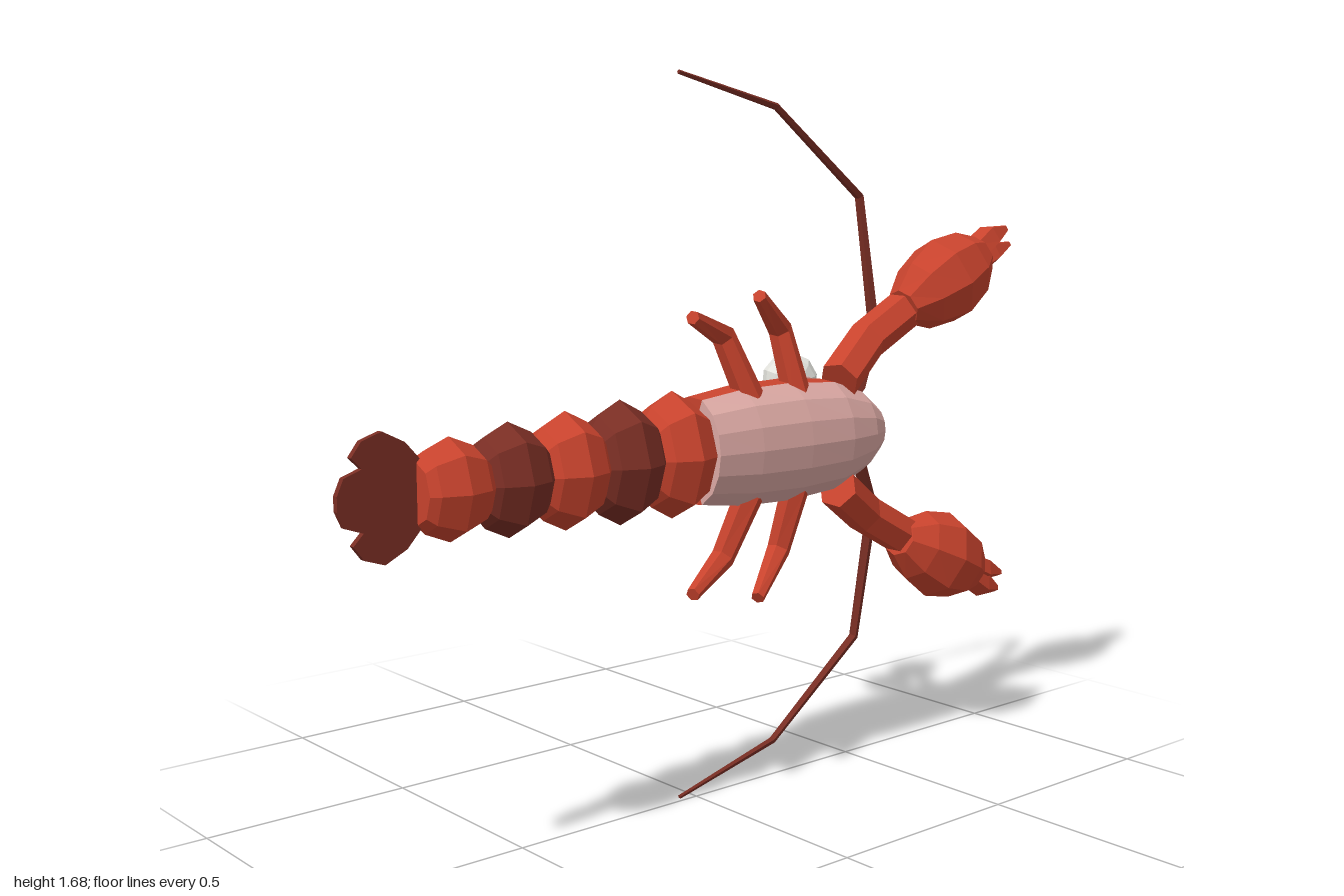
import * as THREE from 'three';

const mat = (name, color, side = THREE.FrontSide) => {
  const m = new THREE.MeshStandardMaterial({ color, flatShading: true, side });
  m.name = name;
  return m;
};

const AXIS_Y = 0.85; // height of the mirror plane

// Regular cross-section with n sides
const polygon = (n, turn = 0) => Array.from({ length: n }, (_, i) => {
  const a = (i + turn) / n * Math.PI * 2;
  return [Math.cos(a), Math.sin(a)];
});

// Closed loft along a path; stations are [x, y, z, radius across, radius in z]
function loft(stations, section, keep = () => true) {
  const pts = stations.map(([x, y, z]) => new THREE.Vector3(x, y, z));
  const last = pts.length - 1;
  const rings = pts.map((p, i) => {
    const t = pts[Math.min(i + 1, last)].clone().sub(pts[Math.max(i - 1, 0)]).normalize();
    const u = new THREE.Vector3(0, 0, 1).cross(t).normalize();
    const v = t.clone().cross(u);
    const [, , , ru, rv = ru] = stations[i];
    return section.map(([a, b]) => p.clone().addScaledVector(u, a * ru).addScaledVector(v, b * rv));
  });
  const out = [];
  const tri = (...vs) => vs.forEach((q) => out.push(q.x, q.y, q.z));
  section.forEach((_, j) => {
    if (!keep(j)) return;
    const k = (j + 1) % section.length;
    for (let i = 0; i < last; i++) {
      const [a, b, c, d] = [rings[i][j], rings[i][k], rings[i + 1][k], rings[i + 1][j]];
      tri(a, b, c);
      tri(a, c, d);
    }
    tri(pts[0], rings[0][k], rings[0][j]);
    tri(pts[last], rings[last][j], rings[last][k]);
  });
  const g = new THREE.BufferGeometry();
  g.setAttribute('position', new THREE.Float32BufferAttribute(out, 3));
  g.computeVertexNormals();
  return g;
}

export function createModel() {
  const red = mat('shell red', 0xc8432d);
  const dark = mat('dark red', 0x7a2e24);
  const pink = mat('belly pink', 0xdca9a4);
  const white = mat('eye white', 0xe6e6e0);
  const black = mat('pupil black', 0x0b0b0b);

  const model = new THREE.Group();
  const add = (name, geometry, material, parent = model) => {
    const m = new THREE.Mesh(geometry, material);
    m.name = name;
    parent.add(m);
    return m;
  };

  // Body: red shell on the back, pink belly on the front
  const half = [[1, 0], [0.97, 0.42], [0.72, 0.75], [0.38, 0.94], [0, 1]];
  const bodySection = [
    ...half, ...half.slice(0, 4).reverse().map(([a, b]) => [-a, b]),
    [-0.85, -0.55], [-0.5, -0.88], [0, -1], [0.5, -0.88], [0.85, -0.55],
  ];
  const body = [
    [-0.07, 0.055, 0.122, 0.11], [0.05, 0.055, 0.138, 0.123], [0.2, 0.055, 0.142, 0.127],
    [0.34, 0.055, 0.132, 0.123], [0.44, 0.057, 0.1, 0.1], [0.5, 0.06, 0.06, 0.065], [0.535, 0.062, 0.02, 0.022],
  ].map(([x, z, ry, rz]) => [x, AXIS_Y, z, ry, rz]);
  const isBelly = (j) => j >= 1 && j <= 6;
  add('shell', loft(body, bodySection, (j) => !isBelly(j)), red);
  add('belly', loft(body, bodySection, isBelly), pink);

  // Tail segments, alternating red and dark, shrinking backwards
  const octagon = polygon(8);
  [
    [-0.14, 0.08, 0.143, 0.112], [-0.293, 0.09, 0.137, 0.107], [-0.446, 0.1, 0.127, 0.1],
    [-0.6, 0.115, 0.12, 0.094], [-0.75, 0.13, 0.106, 0.086],
  ].forEach(([x, z, ry, rz], i) => {
    const rings = [[-0.076, 0.6], [-0.058, 0.78], [0, 1], [0.058, 0.78], [0.076, 0.6]];
    add('tailSegment' + (i + 1),
      loft(rings.map(([dx, s]) => [x + dx, AXIS_Y, z, ry * s, rz * s]), octagon), i % 2 ? dark : red);
  });

  // Tail fan: thin three-lobed plate
  const top = [[-0.8, 0.05], [-0.85, 0.105], [-0.9, 0.13], [-0.945, 0.115], [-0.968, 0.085], [-0.945, 0.062],
    [-0.985, 0.048], [-1, 0.015]];
  const outline = [...top, ...top.slice().reverse().map(([x, y]) => [x, -y])];
  const fan = new THREE.ExtrudeGeometry(new THREE.Shape(outline.map(([x, y]) => new THREE.Vector2(x, y))),
    { depth: 0.014, bevelEnabled: false });
  fan.translate(0, AXIS_Y, 0.12);
  add('tailFan', fan, dark);

  // Paired parts, mirrored above and below the body axis
  for (const s of [1, -1]) {
    const side = new THREE.Group();
    side.name = s > 0 ? 'upperLimbs' : 'lowerLimbs';
    model.add(side);
    const limb = (name, stations, sides, material, turn = 0.5) =>
      add(name, loft(stations.map(([x, y, ...rest]) => [x, AXIS_Y + s * y, ...rest]), polygon(sides, turn)),
        material, side);

    // Claw arm, palm and two fingers
    limb('clawArm', [[0.36, 0.13, 0.1, 0.05], [0.5, 0.215, 0.055, 0.05], [0.66, 0.305, 0.065, 0.05]], 6, red);
    limb('clawPalm', [[0.61, 0.29, 0.07, 0.045, 0.05], [0.67, 0.315, 0.073, 0.09, 0.08], [0.75, 0.35, 0.075, 0.112, 0.098],
      [0.83, 0.385, 0.075, 0.092, 0.08], [0.885, 0.41, 0.075, 0.052, 0.045]], 8, red, 0);
    limb('outerFinger', [[0.86, 0.415, 0.075, 0.034, 0.04], [0.925, 0.455, 0.073, 0.034, 0.035],
      [0.985, 0.475, 0.073, 0.01, 0.012]], 5, red);
    limb('innerFinger', [[0.86, 0.385, 0.075, 0.028, 0.035], [0.93, 0.415, 0.073, 0.032, 0.034],
      [1, 0.435, 0.073, 0.008, 0.01]], 5, red);

    // Walking legs
    limb('rearLeg', [[0.075, 0.11, 0.1, 0.034], [0.015, 0.255, 0.075, 0.028], [-0.13, 0.307, 0.14, 0.016]], 6, red);
    limb('foreLeg', [[0.22, 0.11, 0.1, 0.034], [0.19, 0.26, 0.075, 0.028], [0.065, 0.345, 0.14, 0.016]], 6, red);

    // Antenna sweeping backwards
    limb('antennaBase', [[0.46, 0.05, 0, 0.02], [0.535, 0.09, -0.008, 0.02], [0.615, 0.225, -0.03, 0.014]], 5, dark);
    limb('antenna', [[0.615, 0.215, -0.03, 0.015], [0.572, 0.56, -0.048, 0.012], [0.275, 0.77, -0.032, 0.009],
      [-0.04, 0.838, -0.014, 0.005]], 5, dark);

    // Eye stalk
    limb('eyeStalk', [[0.39, 0.045, -0.01, 0.022], [0.44, 0.09, -0.14, 0.022]], 6, red);

    // Eyeball with pupil and highlight laid on the surface
    const eye = new THREE.Group();
    eye.name = 'eye';
    eye.position.set(0.45, AXIS_Y + s * 0.1, -0.165);
    eye.quaternion.setFromUnitVectors(new THREE.Vector3(0, 1, 0), new THREE.Vector3(0.4, 0, -0.92).normalize());
    side.add(eye);
    const ball = (r, cap) => new THREE.SphereGeometry(r, 10, cap ? 2 : 7, 0, Math.PI * 2, 0, cap || Math.PI)
      .scale(1, 0.8, 1);
    add('eyeball', ball(0.072), white, eye);
    add('pupil', ball(0.077, 0.6), black, eye);
    const glint = add('eyeGlint', new THREE.CylinderGeometry(0.011, 0.011, 0.006, 6), white, eye);
    glint.position.set(0.008, 0.061, 0.012);

    // Pale spot on the shell behind the eye
    const spot = add('shellSpot', new THREE.SphereGeometry(0.04, 8, 5), pink, side);
    spot.scale.set(1, 0.8, 0.25);
    spot.position.set(0.335, AXIS_Y + s * 0.113, -0.014);
    spot.rotation.x = s * 0.95;
  }
  return model;
}
